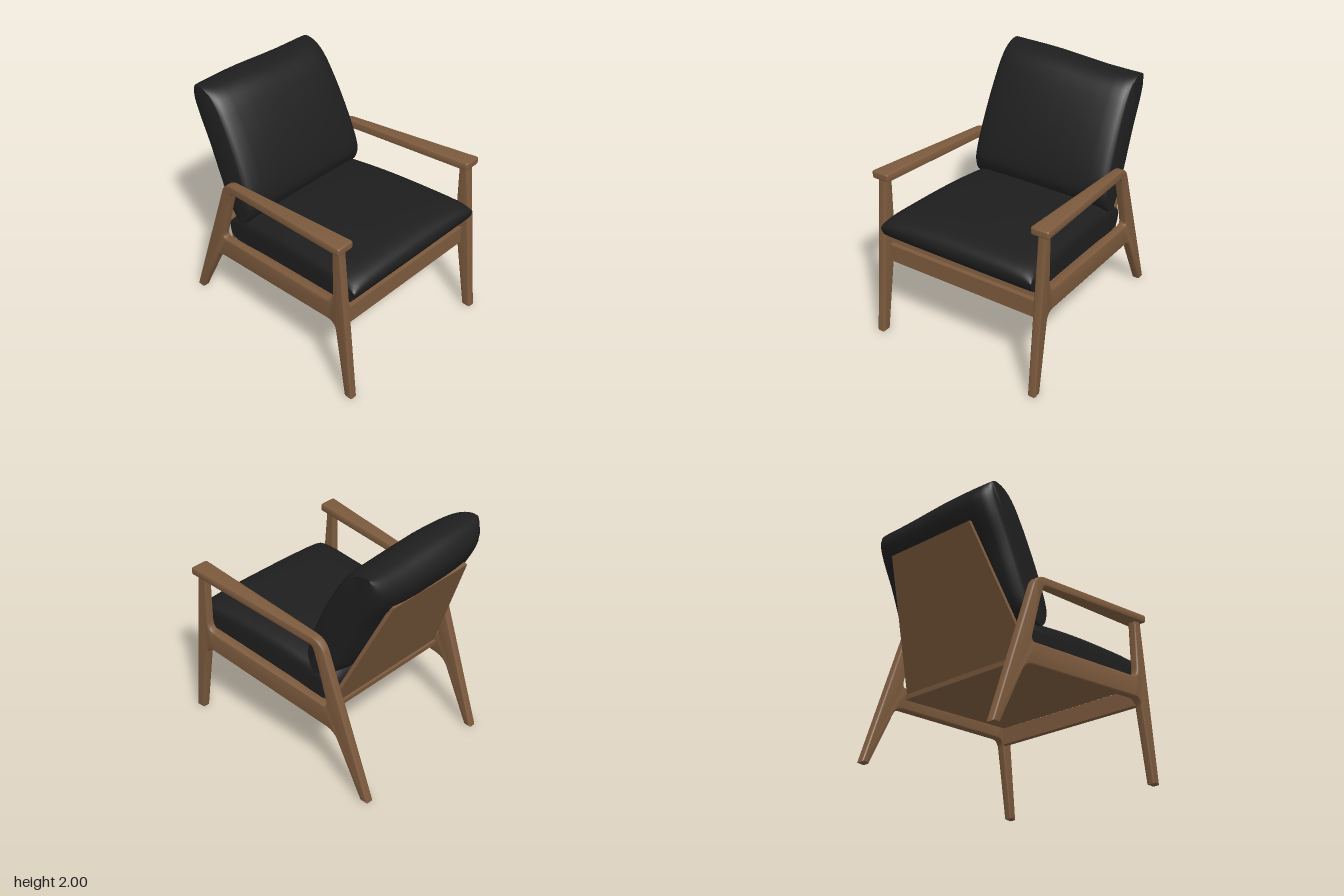
import * as THREE from 'three';
import { toCreasedNormals } from 'three/addons/utils/BufferGeometryUtils.js';

const wood = new THREE.MeshStandardMaterial({ color: 0x7c5a3d });
wood.name = 'walnut wood';
const fabric = new THREE.MeshStandardMaterial({ color: 0x1e1e1e });
fabric.name = 'black upholstery';

const { lerp } = THREE.MathUtils;
const THICK = 0.07;

// Polygon of [z, y, cornerRadius] points with softened corners
function trace(path, pts) {
  pts.forEach(([x, y, r = 0], i) => {
    const c = new THREE.Vector2(x, y);
    const toward = ([px, py]) => new THREE.Vector2(px, py).sub(c).setLength(r).add(c);
    const a = r ? toward(pts[(i + pts.length - 1) % pts.length]) : c;
    const b = r ? toward(pts[(i + 1) % pts.length]) : c;
    if (i) path.lineTo(a.x, a.y); else path.moveTo(a.x, a.y);
    if (r) path.quadraticCurveTo(c.x, c.y, b.x, b.y);
  });
  path.closePath();
  return path;
}

// Side profile given thickness; place(z) returns its centre x and width factor
function slab(outline, opening, side, place, bevel) {
  const shape = trace(new THREE.Shape(), outline);
  if (opening) shape.holes.push(trace(new THREE.Path(), opening));
  const geo = new THREE.ExtrudeGeometry(shape, {
    depth: THICK - 2 * bevel, bevelThickness: bevel, bevelSize: bevel,
    bevelOffset: -bevel, bevelSegments: 3, curveSegments: 8,
  });
  geo.translate(0, 0, bevel - THICK / 2).rotateY(-Math.PI / 2);
  const p = geo.attributes.position;
  for (let i = 0; i < p.count; i++) {
    const [centre, width] = place(p.getZ(i));
    p.setX(i, side * centre + p.getX(i) * width);
  }
  return toCreasedNormals(geo, 0.6);
}

// Flat board running from a to b, both [z, y, halfWidth]
function board(a, b, thickness) {
  const geo = new THREE.BoxGeometry(2, 1, thickness);
  const dir = new THREE.Vector2(b[0] - a[0], b[1] - a[1]).normalize();
  const p = geo.attributes.position;
  for (let i = 0; i < p.count; i++) {
    const t = p.getY(i) + 0.5, n = p.getZ(i);
    p.setXYZ(i, p.getX(i) * lerp(a[2], b[2], t),
      lerp(a[1], b[1], t) - dir.x * n, lerp(a[0], b[0], t) + dir.y * n);
  }
  geo.computeVertexNormals();
  return geo;
}

// Cushion: a [z, y] profile lofted across x and thinned toward both ends.
// a and b are the ends of its middle line, [z, y, halfWidth];
// faceK and underK thin the sitting face and the hidden face at the ends.
function cushion(profile, a, b, faceK, underK, warp) {
  const curve = new THREE.CatmullRomCurve3(
    profile.map(([z, y]) => new THREE.Vector3(0, y, z)), true, 'centripetal');
  const ring = curve.getPoints(56).slice(0, -1);
  const n = ring.length;
  const start = new THREE.Vector2(a[0], a[1]);
  const dir = new THREE.Vector2(b[0], b[1]).sub(start);
  const len = dir.length();
  dir.divideScalar(len);
  // Station position across the width and how far the thinning has gone
  const half = [[1, 1], [0.985, 0.8], [0.95, 0.57], [0.88, 0.35], [0.75, 0.18], [0.5, 0.06], [0.25, 0]];
  const stations = [...half.map(([x, f]) => [-x, f]), [0, 0], ...half.slice().reverse()];
  stations.unshift([-1, 1, true]);
  stations.push([1, 1, true]);
  const pos = [], index = [];
  for (const [sx, fade, cap] of stations) {
    for (const q of ring) {
      const d = new THREE.Vector2(q.z, q.y).sub(start);
      let u = d.dot(dir), v = d.x * -dir.y + d.y * dir.x;
      v *= lerp(1, v * dir.x > 0 ? faceK : underK, fade);
      if (cap) { v = 0; u = lerp(len / 2, u, 0.6); }
      const t = THREE.MathUtils.clamp(u / len, 0, 1);
      const x = sx * lerp(a[2], b[2], t);
      const z = start.x + dir.x * u - dir.y * v;
      const y = start.y + dir.y * u + dir.x * v;
      pos.push(x, y - warp(x, t), z);
    }
  }
  for (let i = 0; i < stations.length - 1; i++) {
    for (let j = 0; j < n; j++) {
      const k = (j + 1) % n;
      const p = i * n + j, q = i * n + k, r = p + n, s = q + n;
      index.push(p, r, q, q, r, s);
    }
  }
  const geo = new THREE.BufferGeometry();
  geo.setAttribute('position', new THREE.Float32BufferAttribute(pos, 3));
  geo.setIndex(index);
  return toCreasedNormals(geo, 0.9);
}

export function createModel() {
  const model = new THREE.Group();
  model.name = 'lounge armchair';
  const add = (name, geo, mat) => {
    const mesh = new THREE.Mesh(geo, mat);
    mesh.name = name;
    model.add(mesh);
  };

  // Side frames: both legs, the rail and the rear arm support in one piece
  const frameOutline = [
    [0.96, 0], [0.82, 1.41], [-0.472, 1.305, 0.09], [-0.594, 0.957], [-0.93, 0],
    [-0.862, 0], [-0.59, 0.54, 0.08], [0.775, 0.688, 0.075], [0.89, 0],
  ];
  const frameOpening = [
    [0.748, 1.375], [0.753, 0.865, 0.08], [-0.53, 0.735, 0.05], [-0.388, 1.248, 0.03],
  ];
  const armOutline = [
    [0.85, 1.376, 0.015], [0.85, 1.443, 0.02], [-0.47, 1.312, 0.1],
    [-0.53, 1.13], [-0.422, 1.13], [-0.388, 1.246, 0.04],
  ];
  const frameCentre = z => 0.685 + 0.0515 * z;
  for (const [label, side] of [['left', 1], ['right', -1]]) {
    add(label + 'SideFrame',
      slab(frameOutline, frameOpening, side, z => [frameCentre(z), 1], 0.014), wood);
    // Armrest widens toward the front
    add(label + 'Armrest', slab(armOutline, null, side, z => {
      const t = (z + 0.45) / 1.3;
      return [lerp(0.662, 0.7225, t), lerp(1, 2.2, t)];
    }, 0.01), wood);
  }

  // Boards and front rail
  add('frontRail', board([0.8, 0.637, 0.705], [0.8, 0.787, 0.705], 0.045), wood);
  add('seatPanel', board([-0.5, 0.655, 0.635], [0.79, 0.815, 0.705], 0.04), wood);
  add('backPanel', board([-0.47, 0.685, 0.62], [-0.905, 1.685, 0.41], 0.03), wood);

  // Seat cushion
  add('seatCushion', cushion([
    [0.905, 0.96], [0.91, 1.02], [0.87, 1.07], [0.76, 1.105], [0.5, 1.105], [0.2, 1.09],
    [0, 1.07], [-0.25, 1.03], [-0.44, 0.98], [-0.5, 0.9], [-0.5, 0.78], [-0.46, 0.73],
    [-0.1, 0.765], [0.4, 0.82], [0.7, 0.85], [0.8, 0.86], [0.87, 0.9],
  ], [-0.5, 0.87, 0.62], [0.9, 0.98, 0.692], 0.4, 0.93, () => 0), fabric);

  // Back cushion, its top edge dipping slightly toward the left
  add('backCushion', cushion([
    [-0.23, 1.1], [-0.235, 1.2], [-0.32, 1.45], [-0.46, 1.74], [-0.59, 1.93], [-0.7, 1.995],
    [-0.82, 2.0], [-0.9, 1.96], [-0.96, 1.85], [-0.93, 1.73], [-0.8, 1.5], [-0.68, 1.22],
    [-0.57, 1.02], [-0.45, 0.94], [-0.31, 0.96],
  ], [-0.37, 0.98, 0.635], [-0.83, 1.97, 0.595], 0.72, 0.3,
  (x, t) => 0.035 * t * THREE.MathUtils.smoothstep(x, -0.3, 0.4)), fabric);

  return model;
}
